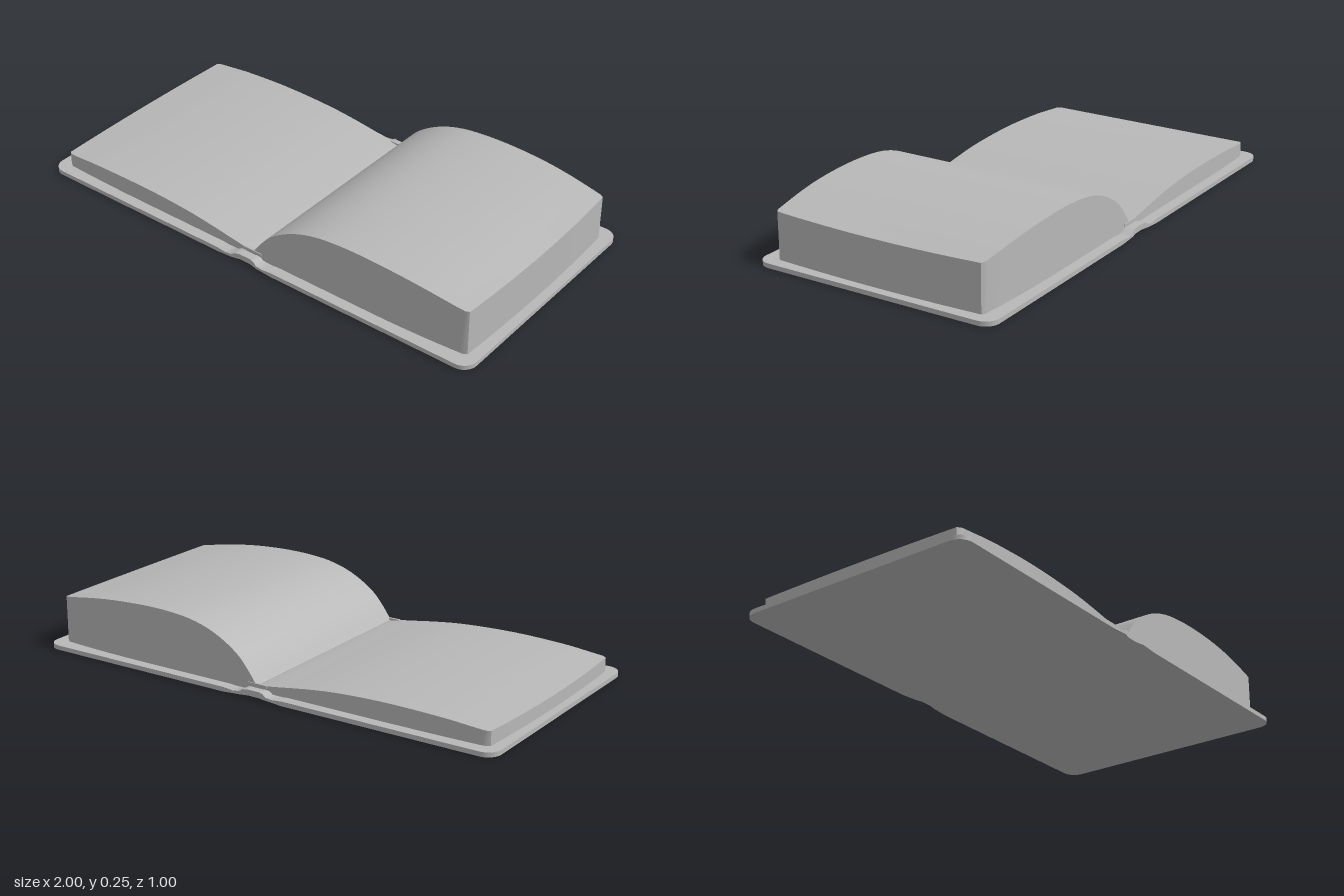
import * as THREE from 'three';
import { toCreasedNormals } from 'three/addons/utils/BufferGeometryUtils.js';

// Slab from cross-sections along +x. Each station is [x, bottom, top, halfDepth].
// bulge(x) pushes the middle of a section outwards in x; drop(x) lowers its top there.
function slab(stations, bulge = () => 0, drop = () => 0) {
  const n = 16, size = 2 * (n + 1), pos = [], idx = [];
  for (const [x, bottom, top, half] of stations) {
    for (let k = 0; k < size; k++) {
      const upper = k <= n;
      const u = ((upper ? k : size - 1 - k) / n) * 2 - 1;
      const mid = 1 - u * u;
      pos.push(x + bulge(x) * mid, upper ? top - drop(x) * mid : bottom, u * half);
    }
  }
  const quad = (a, b, c, d) => idx.push(a, b, c, b, d, c);
  for (let i = 0; i < stations.length - 1; i++) {
    for (let k = 0; k < size; k++) {
      const k2 = (k + 1) % size, r = i * size;
      quad(r + k, r + k2, r + size + k, r + size + k2);
    }
  }
  // End faces
  const last = (stations.length - 1) * size;
  for (let j = 0; j < n; j++) {
    const lo = size - 1 - j;
    quad(last + j, last + j + 1, last + lo, last + lo - 1);
    quad(j + 1, j, lo - 1, lo);
  }
  const geo = new THREE.BufferGeometry();
  geo.setAttribute('position', new THREE.Float32BufferAttribute(pos, 3));
  geo.setIndex(idx);
  return toCreasedNormals(geo, 0.6);
}

// Smooth page block from a top profile of [x, y] points
function pageBlock(profile, taper) {
  const curve = new THREE.CatmullRomCurve3(profile.map(([x, y]) => new THREE.Vector3(x, y, 0)));
  const stations = curve.getPoints(40).map(({ x, y }) => {
    const t = Math.max(0, (Math.abs(x) - 0.55) / 0.4);
    const corner = Math.max(0, (Math.abs(x) - 0.935) / 0.02);
    return [x, 0.016, y, 0.457 - taper * t * t - 0.01 * corner * corner];
  });
  const edge = (x) => Math.pow(Math.min(1, Math.abs(x) / 0.955), 8);
  return slab(stations, (x) => Math.sign(x) * 0.013 * edge(x), (x) => 0.005 * edge(x));
}

// Cover sections: rounded corners outside, hinge grooves and raised spine in the middle
function coverStations() {
  const right = [
    [0.025, 0.005, 0.028, 0.492], [0.045, 0.005, 0.027, 0.497], [0.06, 0.005, 0.017, 0.5],
    [0.09, 0.003, 0.014, 0.5], [0.13, 0, 0.018, 0.5], [0.5, 0, 0.018, 0.5],
  ];
  const r = 0.055;
  for (let i = 0; i <= 8; i++) {
    const a = (i / 8) * Math.PI / 2;
    right.push([1 - r + r * Math.sin(a), 0, 0.018, 0.5 - r + r * Math.cos(a)]);
  }
  const left = right.map(([x, ...rest]) => [-x, ...rest]).reverse();
  return [...left, ...right];
}

export function createModel() {
  const book = new THREE.Group();
  book.name = 'openBook';
  const grey = new THREE.MeshStandardMaterial({ color: 0xb8b8b8 });
  grey.name = 'grey';
  const add = (name, geo) => {
    const mesh = new THREE.Mesh(geo, grey);
    mesh.name = name;
    book.add(mesh);
    return mesh;
  };

  add('cover', slab(coverStations()));

  // Thick stack of pages
  add('thickPages', pageBlock([
    [0.01, 0.035], [0.05, 0.09], [0.1, 0.143], [0.2, 0.202], [0.3, 0.233], [0.4, 0.245],
    [0.5, 0.248], [0.6, 0.245], [0.7, 0.238], [0.8, 0.226], [0.9, 0.21], [0.952, 0.202],
  ], 0.018));

  // Thin stack of pages
  add('thinPages', pageBlock([
    [-0.955, 0.073], [-0.9, 0.077], [-0.8, 0.085], [-0.7, 0.089], [-0.6, 0.091], [-0.5, 0.09],
    [-0.4, 0.086], [-0.3, 0.079], [-0.2, 0.067], [-0.1, 0.052], [-0.04, 0.043], [0.005, 0.035],
  ], 0.009));

  // Head and tail bands at the ends of the spine
  for (const side of [-1, 1]) {
    const band = add(side > 0 ? 'tailBand' : 'headBand', new THREE.BoxGeometry(0.085, 0.012, 0.01));
    band.position.set(0.008, 0.038, side * 0.455);
    const core = add('spineLining', new THREE.BoxGeometry(0.05, 0.02, 0.008));
    core.position.set(0, 0.028, side * 0.455);
  }
  return book;
}
